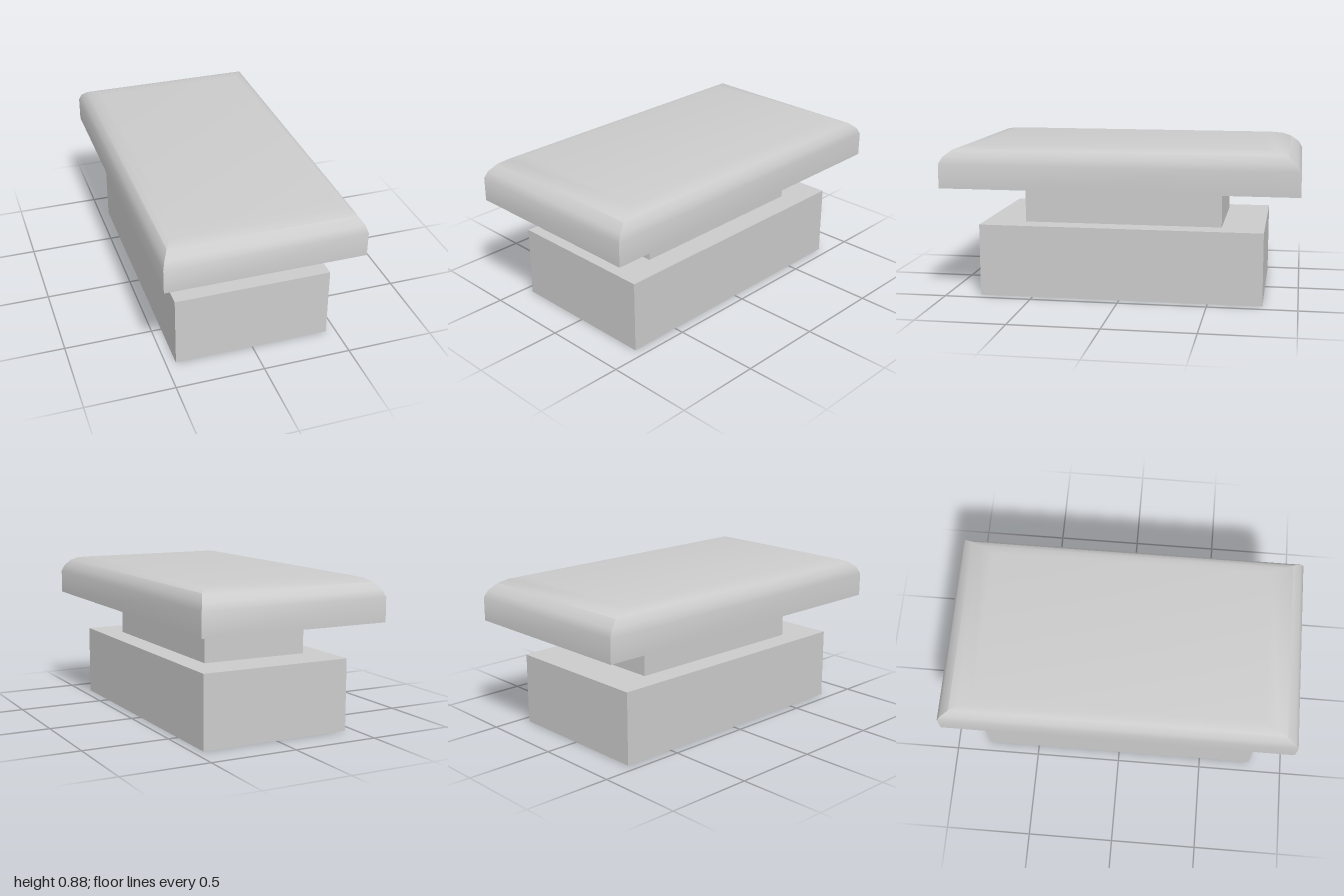
import * as THREE from 'three';
import { toCreasedNormals } from 'three/addons/utils/BufferGeometryUtils.js';

const material = new THREE.MeshStandardMaterial({ color: 0xcccccc });

function block(name, width, depth, bottom, top) {
  const mesh = new THREE.Mesh(new THREE.BoxGeometry(width, top - bottom, depth), material);
  mesh.name = name;
  mesh.position.y = (bottom + top) / 2;
  return mesh;
}

// Stacks rectangular sections [scale, y], closed at both ends
function loftGeometry(halfX, halfZ, sections) {
  const positions = [];
  const corners = [[-1, 1], [1, 1], [1, -1], [-1, -1]];
  for (const [scale, y] of sections) {
    for (const [x, z] of corners) positions.push(x * halfX * scale, y, z * halfZ * scale);
  }
  const index = [0, 2, 1, 0, 3, 2];
  for (let s = 0; s < sections.length - 1; s++) {
    for (let i = 0; i < 4; i++) {
      const a = s * 4 + i, b = s * 4 + (i + 1) % 4;
      index.push(a, b, b + 4, a, b + 4, a + 4);
    }
  }
  const t = (sections.length - 1) * 4;
  index.push(t, t + 1, t + 2, t, t + 2, t + 3);
  const geometry = new THREE.BufferGeometry();
  geometry.setAttribute('position', new THREE.Float32BufferAttribute(positions, 3));
  geometry.setIndex(index);
  return toCreasedNormals(geometry, THREE.MathUtils.degToRad(40));
}

export function createModel() {
  const group = new THREE.Group();
  group.name = 'pedestal';

  group.add(block('base', 0.888, 1.61, 0, 0.412));
  group.add(block('neck', 0.625, 1.13, 0.412, 0.633));

  // Slab with rounded upper edges
  const slab = new THREE.Mesh(loftGeometry(0.553, 1, [
    [1, 0.633], [1, 0.769], [0.978, 0.808], [0.93, 0.846], [0.877, 0.866], [0.8, 0.876],
  ]), material);
  slab.name = 'topSlab';
  group.add(slab);

  return group;
}
